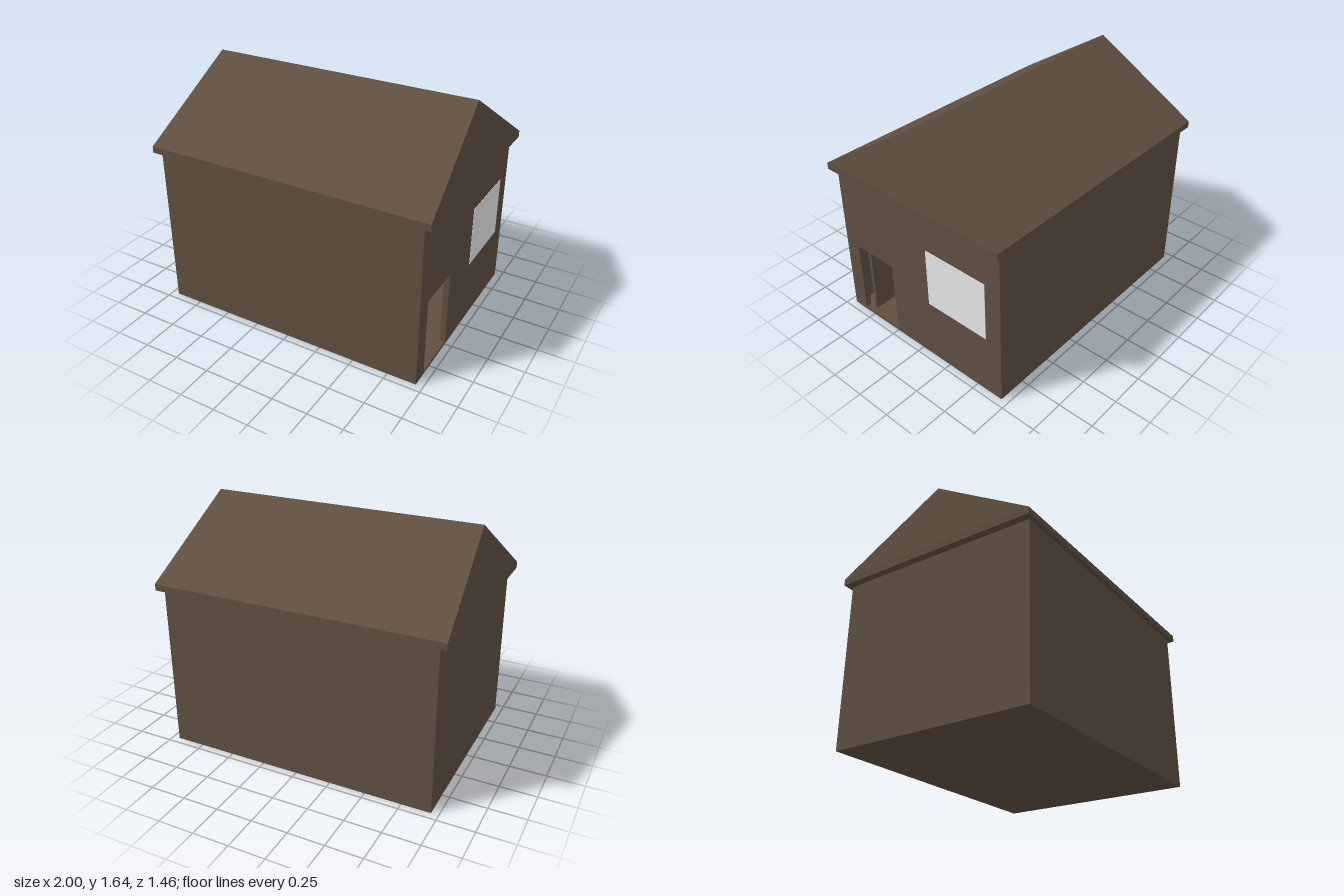
import * as THREE from 'three';

const wood = new THREE.MeshStandardMaterial({ color: 0x5f4f40 });
wood.name = 'brown wood';
const pane = new THREE.MeshStandardMaterial({ color: 0xf2f2f2 });
pane.name = 'pale window';

function add(group, name, geometry, material, x = 0, y = 0, z = 0) {
  const mesh = new THREE.Mesh(geometry, material);
  mesh.name = name;
  mesh.position.set(x, y, z);
  group.add(mesh);
  return mesh;
}

// Box given by its minimum and maximum corners
function addBox(group, name, min, max, material = wood) {
  const size = max.map((v, i) => v - min[i]);
  const mid = max.map((v, i) => (v + min[i]) / 2);
  return add(group, name, new THREE.BoxGeometry(...size), material, ...mid);
}

// Gable block: a box whose top edges are drawn together into a ridge
function gableGeometry(width, height, depth, ridge) {
  const g = new THREE.BoxGeometry(width, height, depth);
  const p = g.attributes.position;
  for (let i = 0; i < p.count; i++) {
    if (p.getY(i) > 0) {
      p.setX(i, Math.sign(p.getX(i)) * ridge / 2);
      p.setZ(i, 0);
    }
  }
  // The top face has collapsed to a line, so drop it
  const index = Array.from(g.index.array);
  index.splice(12, 6);
  g.setIndex(index);
  g.clearGroups();
  g.computeVertexNormals();
  return g;
}

export function createModel() {
  const house = new THREE.Group();
  house.name = 'house';
  const X = 0.95, Z = 0.7, T = 0.04, EAVE = 1.135;

  // Floor and the three plain walls
  addBox(house, 'floor', [-X + T, 0, -Z + T], [X - T, 0.02, Z - T]);
  addBox(house, 'farWall', [-X, 0, -Z], [-X + T, EAVE, Z]);
  addBox(house, 'frontWall', [-X + T, 0, Z - T], [X, EAVE, Z]);
  addBox(house, 'backWall', [-X + T, 0, -Z], [X, EAVE, -Z + T]);

  // Entrance wall with doorway; shape x runs towards -z
  const wall = new THREE.Shape([
    [-Z + T, 0], [Z - T, 0], [Z - T, EAVE], [-Z + T, EAVE],
  ].map(([a, b]) => new THREE.Vector2(a, b)));
  wall.holes.push(new THREE.Path([
    [-0.585, 0.02], [-0.585, 0.555], [-0.25, 0.555], [-0.25, 0.02],
  ].map(([a, b]) => new THREE.Vector2(a, b))));
  const entrance = add(house, 'entranceWall',
    new THREE.ExtrudeGeometry(wall, { depth: T, bevelEnabled: false }), wood, X - T, 0, 0);
  entrance.rotation.y = Math.PI / 2;

  // Window plate
  addBox(house, 'window', [X - 0.002, 0.435, -0.58], [X + 0.002, 0.86, -0.09], pane);

  // Door swung open into the house, with its knob
  const door = new THREE.Group();
  door.name = 'door';
  house.add(door);
  addBox(door, 'doorLeaf', [0.58, 0.021, 0.515], [0.91, 0.55, 0.54]);
  const stem = add(door, 'knobStem',
    new THREE.CylinderGeometry(0.008, 0.016, 0.03, 16), wood, 0.62, 0.295, 0.501);
  stem.rotation.x = -Math.PI / 2;
  add(door, 'knob', new THREE.SphereGeometry(0.018, 20, 14), wood, 0.62, 0.295, 0.478);

  // Roof slab and gable
  addBox(house, 'eaves', [-1, EAVE, -0.73], [1, 1.18, 0.73]);
  add(house, 'roof', gableGeometry(2, 0.465, 1.46, 1.9), wood, 0, 1.18 + 0.2325, 0);

  return house;
}
